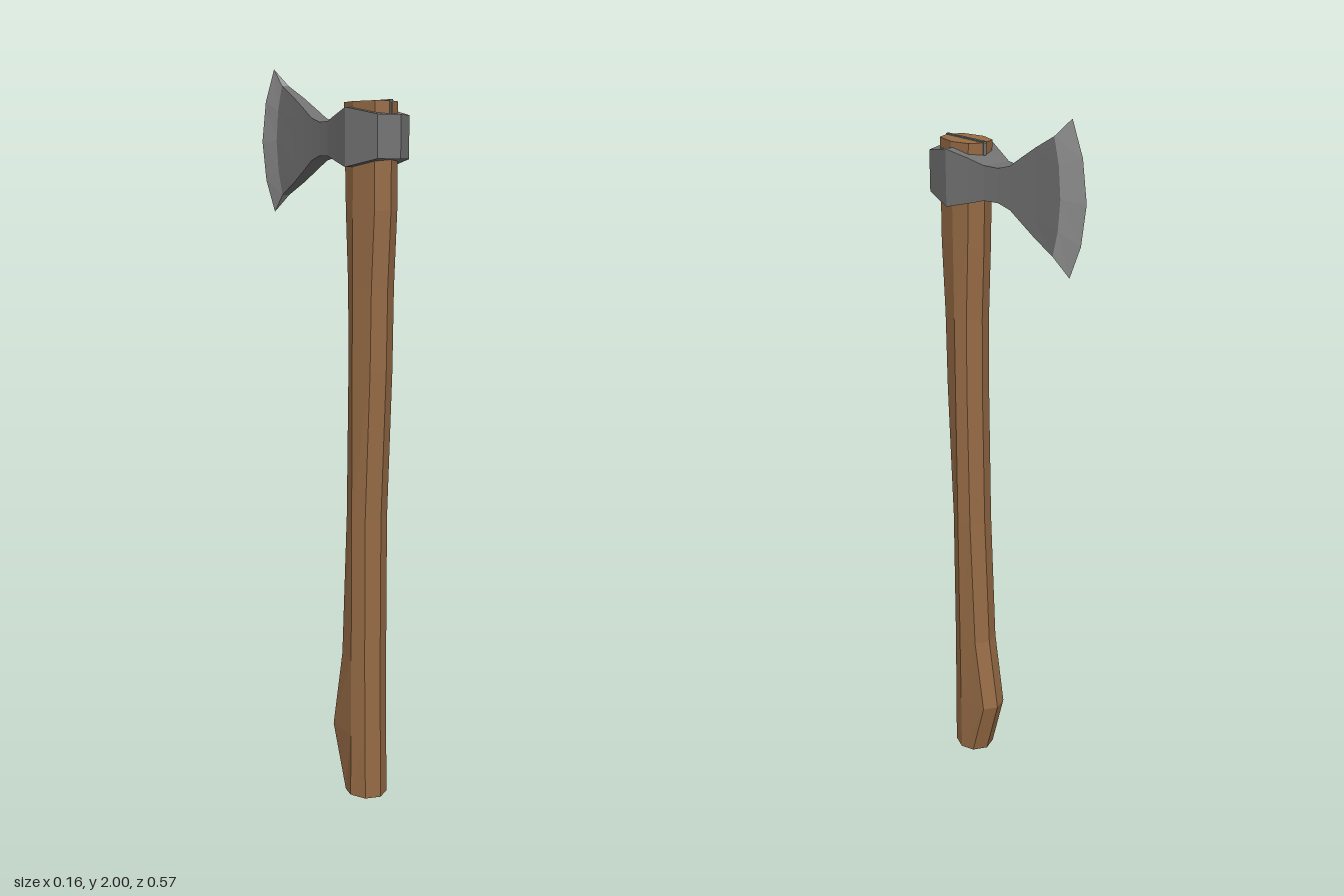
import * as THREE from 'three';

const material = (color) => new THREE.MeshStandardMaterial({ color, flatShading: true });

// Skin a list of equal-length rings (counter-clockwise seen from the end of the loft).
function loft(rings, capped) {
  const n = rings[0].length;
  const index = [];
  for (let i = 0; i < rings.length - 1; i++) {
    for (let j = 0; j < n; j++) {
      const a = i * n + j, b = i * n + (j + 1) % n;
      index.push(a, b, b + n, a, b + n, a + n);
    }
  }
  if (capped) {
    const last = (rings.length - 1) * n;
    for (let j = 1; j < n - 1; j++) {
      index.push(0, j + 1, j, last, last + j, last + j + 1);
    }
  }
  const geometry = new THREE.BufferGeometry();
  geometry.setAttribute('position', new THREE.Float32BufferAttribute(rings.flat(2), 3));
  geometry.setIndex(index);
  const flat = geometry.toNonIndexed();
  flat.computeVertexNormals();
  return flat;
}

// Eight-sided handle section from its front and back z.
function handleRing([y, front, back]) {
  const mid = 0.165, side = 0.055, shoulder = 0.04, inset = 0.019;
  return [
    [0, y, front], [shoulder, y, front - inset], [side, y, mid], [shoulder, y, back + inset],
    [0, y, back], [-shoulder, y, back + inset], [-side, y, mid], [-shoulder, y, front - inset],
  ];
}

// Upright head section: both cheeks, bowed towards the cutting edge by "bow".
function headRing([z, halfWidth, halfHeight, bow = 0]) {
  const rows = [1, 0.55, 0, -0.55, -1];
  const cheek = rows.map((v) => [halfWidth, 1.805 + v * halfHeight, z - bow * (1 - v * v)]);
  const other = cheek.map(([x, y, zz]) => [-x, y, zz]).reverse();
  return [...cheek, ...other];
}

export function createModel() {
  const model = new THREE.Group();
  const add = (name, geometry, mat) => {
    const mesh = new THREE.Mesh(geometry, mat);
    mesh.name = name;
    model.add(mesh);
    return mesh;
  };
  const steel = material(0x727272);

  // Curved wooden handle with a swollen grip: y, front z, back z
  const handle = [
    [0, 0.229, 0.108], [0.18, 0.226, 0.055], [0.4, 0.223, 0.092], [0.8, 0.222, 0.109],
    [1.2, 0.238, 0.114], [1.42, 0.241, 0.112], [1.62, 0.251, 0.102], [1.895, 0.25, 0.094],
  ];
  add('handle', loft(handle.map(handleRing), true), material(0x966b45));

  // Wedge driven into the top of the handle
  const wedge = add('wedge', new THREE.BoxGeometry(0.01, 0.1, 0.155), steel);
  wedge.position.set(0, 1.848, 0.172);

  // Head from poll to blade: z, half width, half height, bow
  const bevelStart = [-0.18, 0.012, 0.148, 0.025];
  const head = [
    [0.285, 0, 0.055], [0.258, 0.055, 0.055], [0.16, 0.078, 0.075], [0.095, 0.056, 0.058],
    [0.05, 0.042, 0.045], [0.005, 0.033, 0.044], [-0.035, 0.027, 0.056],
    [-0.07, 0.023, 0.08], [-0.12, 0.018, 0.113], bevelStart,
  ];
  add('head', loft(head.map(headRing), false), steel);

  // Ground cutting edge
  const edge = [bevelStart, [-0.23, 0, 0.195, 0.055]];
  add('cuttingEdge', loft(edge.map(headRing), false), material(0x999999));

  return model;
}
